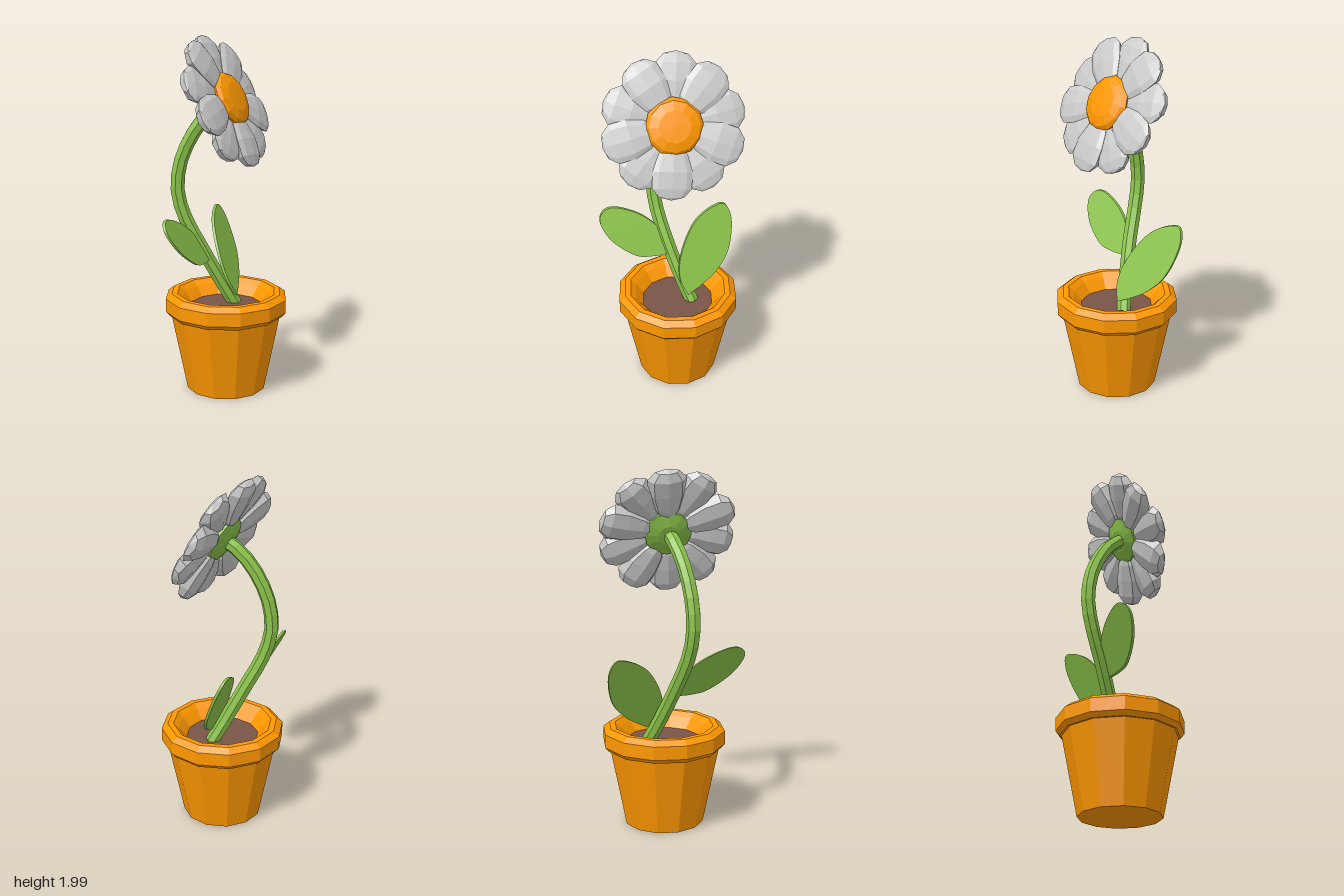
import * as THREE from 'three';

const mat = (color) => new THREE.MeshStandardMaterial({ color, flatShading: true });
const orange = mat(0xff9800);
const green = mat(0x8bc34a);
const brown = mat(0x795548);
const grey = mat(0xcccccc);

function add(parent, name, geometry, material) {
  const mesh = new THREE.Mesh(geometry, material);
  mesh.name = name;
  parent.add(mesh);
  return mesh;
}

const lathe = (points, sides) =>
  new THREE.LatheGeometry(points.map(([r, y]) => new THREE.Vector2(r, y)), sides);

// Thin leaf: outline of [-z, y] points, leaning back so x follows the height
function leafGeometry(outline, lean) {
  const [start, ...rest] = outline.map(([a, y]) => new THREE.Vector2(a, y));
  const shape = new THREE.Shape();
  shape.moveTo(start.x, start.y);
  shape.splineThru(rest);
  const geo = new THREE.ExtrudeGeometry(shape, { depth: 0.016, bevelEnabled: false, curveSegments: 14 });
  geo.rotateY(Math.PI / 2);
  const p = geo.attributes.position;
  for (let i = 0; i < p.count; i++) p.setX(i, p.getX(i) + lean(p.getY(i)));
  geo.computeVertexNormals();
  return geo;
}

// Petal: squashed sphere with a blunt tip, narrow at the base, nearly flat in front and bulging behind
function petalGeometry() {
  const geo = new THREE.SphereGeometry(1, 8, 6);
  const p = geo.attributes.position;
  for (let i = 0; i < p.count; i++) {
    const x = p.getX(i), z = p.getZ(i);
    const y = Math.sign(p.getY(i)) * Math.abs(p.getY(i)) ** 0.75;
    p.setXYZ(i, x * (0.105 + 0.028 * y), 0.235 + 0.152 * y, z * (z > 0 ? 0.022 : 0.065 + 0.015 * y) - 0.015 * y * y);
  }
  geo.computeVertexNormals();
  return geo;
}

export function createModel() {
  const model = new THREE.Group();
  model.name = 'pottedFlower';

  // Pot with a thick bevelled rim, and soil inside
  const pot = new THREE.Group();
  pot.name = 'pot';
  pot.position.z = -0.03;
  model.add(pot);
  add(pot, 'potBody', lathe([
    [0, 0], [0.225, 0], [0.314, 0.44], [0.325, 0.44], [0.347, 0.465], [0.347, 0.54],
    [0.312, 0.567], [0.28, 0.567], [0.25, 0.54], [0.205, 0.482], [0.2, 0.45],
  ], 12), orange);
  const soil = add(pot, 'soil', new THREE.CylinderGeometry(0.205, 0.2, 0.04, 12), brown);
  soil.position.y = 0.462;

  // Curved stem
  const path = new THREE.CatmullRomCurve3([
    [0.03, 0.47, -0.11], [-0.02, 0.57, -0.075], [-0.13, 0.8, -0.01], [-0.225, 1.0, 0.03],
    [-0.262, 1.15, 0.04], [-0.24, 1.32, 0.037], [-0.165, 1.48, 0.025], [-0.085, 1.58, 0.01], [0.01, 1.645, 0],
  ].map((p) => new THREE.Vector3(...p)));
  add(model, 'stem', new THREE.TubeGeometry(path, 16, 0.04, 7), green);

  // Leaves
  add(model, 'leftLeaf', leafGeometry([
    [0, 0.75], [-0.09, 0.75], [-0.19, 0.77], [-0.31, 0.86], [-0.365, 0.96], [-0.34, 1.02],
    [-0.265, 1.03], [-0.14, 0.98], [-0.05, 0.91], [0, 0.84],
  ], (y) => -0.238 - 0.5 * (y - 1.02)), green);
  add(model, 'rightLeaf', leafGeometry([
    [0.08, 0.53], [0.045, 0.62], [0.055, 0.72], [0.105, 0.83], [0.18, 0.925], [0.28, 0.98], [0.36, 0.985],
    [0.39, 0.89], [0.35, 0.735], [0.26, 0.63], [0.155, 0.565],
  ], (y) => -0.158 - 0.43 * (y - 0.98)), green);

  // Flower head, facing +x, tilted up and turned slightly to the front
  const flower = new THREE.Group();
  flower.name = 'flowerHead';
  flower.position.set(0.03, 1.655, 0);
  flower.rotation.set(-0.445, Math.PI / 2 - 0.15, 0, 'YXZ');
  model.add(flower);

  // Ten petals in two alternating layers
  const petal = petalGeometry();
  for (let i = 0; i < 10; i++) {
    const mesh = add(flower, 'petal', petal, grey);
    mesh.rotation.z = -0.1 + (i / 10) * Math.PI * 2;
    mesh.position.z = i % 2 ? 0.012 : -0.01;
  }

  // Domed centre and green cup behind it
  const centre = lathe([[0, -0.02], [0.14, -0.02], [0.153, 0.015], [0.135, 0.035], [0.085, 0.05], [0, 0.053]], 12);
  add(flower, 'flowerCentre', centre.rotateX(Math.PI / 2), orange);
  const cup = lathe([[0, -0.07], [0.06, -0.068], [0.13, -0.045], [0.13, -0.01], [0, -0.01]], 12);
  add(flower, 'flowerCup', cup.rotateX(Math.PI / 2), green);

  return model;
}
